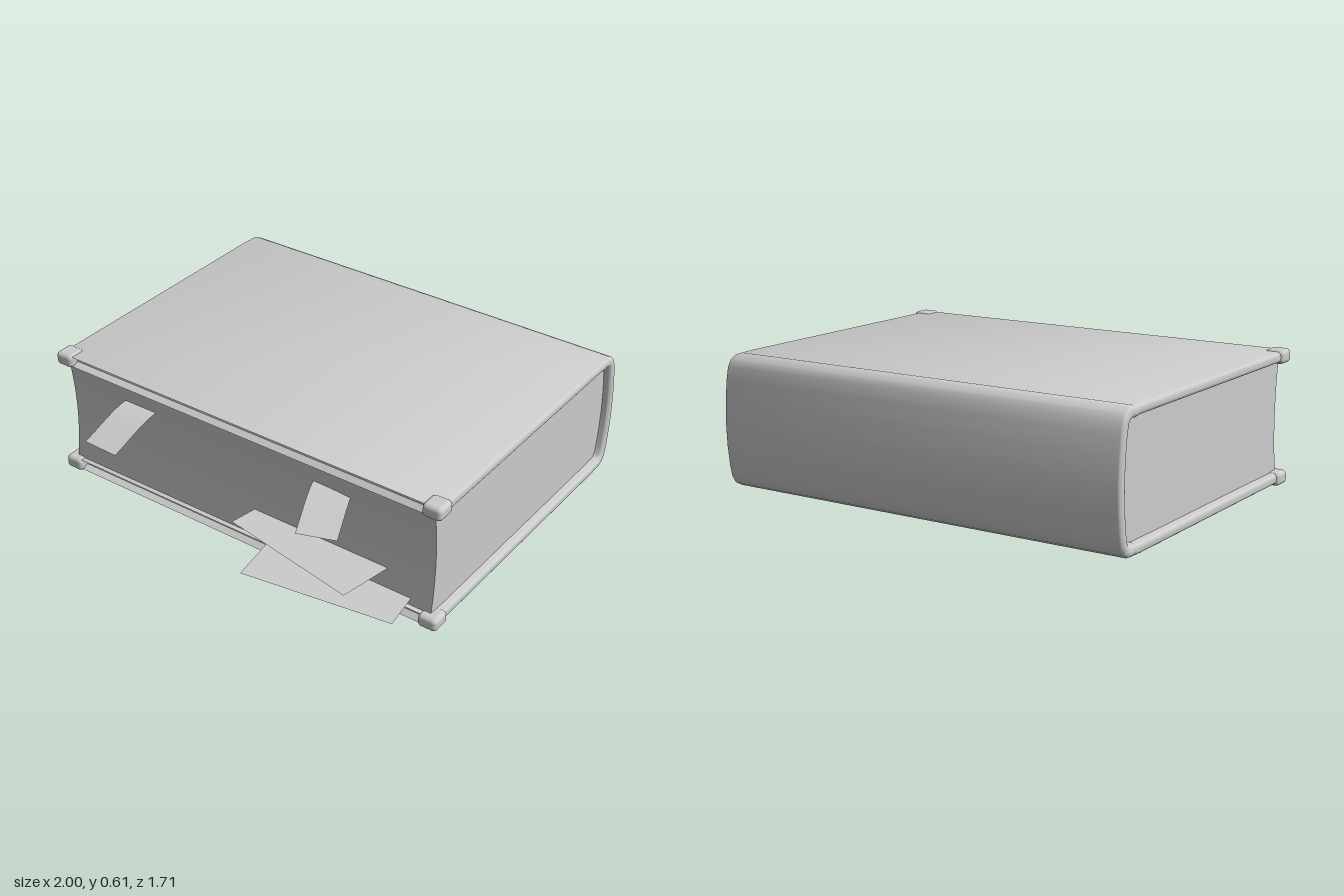
import * as THREE from 'three';
import { toCreasedNormals } from 'three/addons/utils/BufferGeometryUtils.js';
import { RoundedBoxGeometry } from 'three/addons/geometries/RoundedBoxGeometry.js';

const MID = 0.307; // mid height of the book

// Extrude a (z, y) outline along x, centred on x = 0
function extrudeAlongX(shape, width, bevel, crease) {
  const depth = width - 2 * bevel;
  const geo = new THREE.ExtrudeGeometry(shape, {
    depth, curveSegments: 20, bevelEnabled: bevel > 0,
    bevelSize: bevel, bevelThickness: bevel, bevelSegments: 5,
  });
  geo.translate(0, 0, -depth / 2).rotateY(-Math.PI / 2);
  return toCreasedNormals(geo, crease);
}

// Thin band following the boards and spine; the bevel swells it to full thickness
function coverShape(half) {
  const upper = [
    [0.593, 0.273], [-0.69, 0.273], [-0.72, 0.272], [-0.735, 0.268], [-0.75, 0.271],
    [-0.775, 0.269], [-0.797, 0.257], [-0.81, 0.235], [-0.82, 0.19], [-0.831, 0.1],
  ];
  const lower = upper.map(([z, d]) => [z, -d]).reverse();
  const centre = [...upper, [-0.835, 0], ...lower].map(([z, d]) => new THREE.Vector2(z, MID + d));
  const side = (sign) => centre.map((p, i) => {
    const a = centre[Math.max(i - 1, 0)], b = centre[Math.min(i + 1, centre.length - 1)];
    const t = b.clone().sub(a).normalize();
    return new THREE.Vector2(p.x - t.y * half * sign, p.y + t.x * half * sign);
  });
  // Rounded fore edges
  const cap = (p, from) => [1, 2, 3, 4, 5].map((i) => {
    const a = from + (i / 6) * Math.PI;
    return new THREE.Vector2(p.x + half * Math.cos(a), p.y + half * Math.sin(a));
  });
  const start = centre[0], end = centre[centre.length - 1];
  return new THREE.Shape([
    ...side(1), ...cap(end, -Math.PI / 2),
    ...side(-1).reverse(), ...cap(start, -Math.PI / 2),
  ]);
}

// Page block: hollow fore edge, rounded back
function pagesShape() {
  const s = new THREE.Shape();
  s.moveTo(0.585, 0.054);
  s.quadraticCurveTo(0.542, MID, 0.585, 0.56);
  s.lineTo(-0.765, 0.56);
  s.quadraticCurveTo(-0.79, 0.55, -0.796, 0.5);
  s.quadraticCurveTo(-0.826, MID, -0.796, 0.114);
  s.quadraticCurveTo(-0.79, 0.064, -0.765, 0.054);
  s.closePath();
  return s;
}

export function createModel() {
  const model = new THREE.Group();
  model.name = 'book';
  const grey = new THREE.MeshStandardMaterial({ color: 0xcccccc, side: THREE.DoubleSide });
  grey.name = 'light grey';

  const add = (name, geo) => {
    const mesh = new THREE.Mesh(geo, grey);
    mesh.name = name;
    model.add(mesh);
    return mesh;
  };

  add('cover', extrudeAlongX(coverShape(0.005), 1.98, 0.019, 0.6));
  add('pages', extrudeAlongX(pagesShape(), 1.91, 0, 0.5));

  // Corner protectors on the fore edge
  for (const x of [-0.955, 0.955]) {
    for (const y of [0.031, 0.58]) {
      add('cornerProtector', new RoundedBoxGeometry(0.09, 0.062, 0.094, 4, 0.02))
        .position.set(x, y, 0.574);
    }
  }

  // Loose sheets sticking out: front-edge middle, turn about y
  const sheets = [
    { x: 0.36, y: 0.18, z: 0.755, width: 0.67, length: 0.27, turn: -0.18 },
    { x: 0.54, y: 0.088, z: 0.805, width: 0.69, length: 0.32, turn: 0.146 },
  ];
  for (const s of sheets) {
    const geo = new THREE.PlaneGeometry(s.width, s.length).rotateX(-Math.PI / 2);
    geo.translate(0, 0, -s.length / 2);
    const mesh = add('looseSheet', geo);
    mesh.position.set(s.x, s.y, s.z);
    mesh.rotation.y = s.turn;
  }

  // Page markers drooping out of the fore edge
  const markers = [
    { x: -0.567, z: 0.83, length: 0.28, turn: -0.03, top: 0.466, drop: 0.08 },
    { x: 0.53, z: 0.78, length: 0.25, turn: 0.34, top: 0.459, drop: 0.084 },
  ];
  for (const m of markers) {
    const geo = new THREE.PlaneGeometry(0.174, m.length, 1, 12).rotateX(-Math.PI / 2);
    geo.translate(0, 0, -m.length / 2);
    const pos = geo.attributes.position;
    for (let i = 0; i < pos.count; i++) {
      const t = 1 + pos.getZ(i) / m.length;
      pos.setY(i, m.top - m.drop * t * t * (1.9 - 0.9 * t));
    }
    geo.computeVertexNormals();
    const mesh = add('pageMarker', geo);
    mesh.position.set(m.x, 0, m.z);
    mesh.rotation.y = m.turn;
  }

  return model;
}
